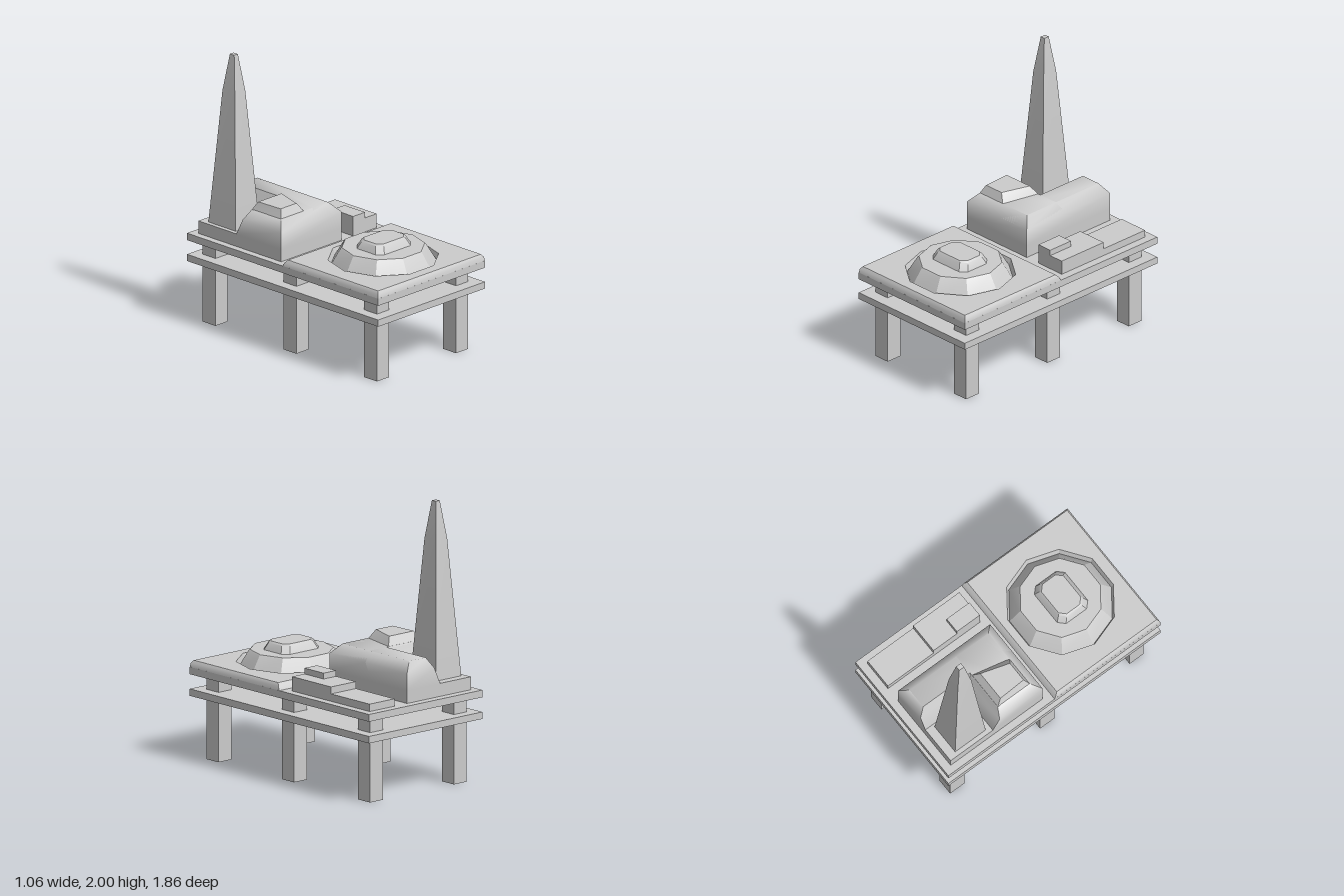
import * as THREE from 'three';
import { toCreasedNormals } from 'three/addons/utils/BufferGeometryUtils.js';

const material = new THREE.MeshStandardMaterial({ color: 0xcccccc });

// Horizontal rings of [x, y, z] points, counter-clockwise from above
const quad = (y, a, b, c, d) => [a, b, c, d].map(([x, z]) => [x, y, z]);
const rect = (y, x0, x1, z0, z1) => quad(y, [x0, z1], [x1, z1], [x1, z0], [x0, z0]);
const decagon = (y, r, cz) => Array.from({ length: 10 }, (_, i) => {
  const a = i * Math.PI / 5;
  return [r * Math.cos(a), y, cz - r * Math.sin(a)];
});
const cutRect = (y, hx, hz, cut, cz) => [
  [-hx + cut, hz], [hx - cut, hz], [hx, hz - cut], [hx, -hz + cut],
  [hx - cut, -hz], [-hx + cut, -hz], [-hx, -hz + cut], [-hx, hz - cut],
].map(([x, z]) => [x, y, cz + z]);

// Skin the rings in order, with an optional flat cap on the last one
function loft(rings, crease = 0.4, cap = true) {
  const pos = [];
  const n = rings[0].length;
  for (let i = 0; i < rings.length - 1; i++) {
    for (let j = 0; j < n; j++) {
      const k = (j + 1) % n;
      const [a, b, c, d] = [rings[i][j], rings[i][k], rings[i + 1][k], rings[i + 1][j]];
      pos.push(...a, ...b, ...c, ...a, ...c, ...d);
    }
  }
  const top = rings[rings.length - 1];
  if (cap) for (let j = 1; j < n - 1; j++) pos.push(...top[0], ...top[j], ...top[j + 1]);
  const g = new THREE.BufferGeometry();
  g.setAttribute('position', new THREE.Float32BufferAttribute(pos, 3));
  g.computeVertexNormals();
  return toCreasedNormals(g, crease);
}

export function createModel() {
  const model = new THREE.Group();
  const add = (name, geometry, parent = model) => {
    const mesh = new THREE.Mesh(geometry, material);
    mesh.name = name;
    parent.add(mesh);
    return mesh;
  };
  const box = (name, x0, x1, y0, y1, z0, z1, parent) =>
    add(name, new THREE.BoxGeometry(x1 - x0, y1 - y0, z1 - z0), parent)
      .position.set((x0 + x1) / 2, (y0 + y1) / 2, (z0 + z1) / 2);

  // Two slabs on six square legs
  box('lowerDeck', -0.53, 0.53, 0.45, 0.5, -0.93, 0.93);
  box('upperDeck', -0.53, 0.53, 0.605, 0.657, -0.93, 0.93);
  for (const x of [-0.392, 0.392]) {
    for (const z of [-0.792, -0.004, 0.78]) {
      box('leg', x - 0.06, x + 0.06, 0, 0.61, z - 0.062, z + 0.062);
    }
  }

  // Raised front platform with bevelled rim and a ten-sided opening
  const platform = new THREE.Group();
  platform.name = 'frontPlatform';
  model.add(platform);
  const cz = 0.46;
  add('platformRim', loft([
    rect(0.655, -0.53, 0.53, 0, 0.93),
    rect(0.685, -0.525, 0.525, 0.015, 0.924),
    rect(0.705, -0.51, 0.51, 0.035, 0.91),
  ], 0.7, false), platform);
  const top = new THREE.Shape([[-0.51, -0.91], [0.51, -0.91], [0.51, -0.035], [-0.51, -0.035]]
    .map(([x, y]) => new THREE.Vector2(x, y)));
  top.holes.push(new THREE.Path(decagon(0, 0.39, cz).map(([x, , z]) => new THREE.Vector2(x, -z))));
  const topGeometry = new THREE.ShapeGeometry(top);
  topGeometry.rotateX(-Math.PI / 2).translate(0, 0.705, 0);
  add('platformTop', topGeometry, platform);

  // Groove and ten-sided mound with a small raised crown
  add('mound', loft([
    decagon(0.705, 0.39, cz), decagon(0.66, 0.375, cz),
    decagon(0.78, 0.303, cz), decagon(0.79, 0.293, cz),
  ]), platform);
  add('moundCrown', loft([
    cutRect(0.785, 0.177, 0.137, 0.045, 0.465),
    cutRect(0.842, 0.15, 0.107, 0.04, 0.465),
    cutRect(0.853, 0.138, 0.097, 0.04, 0.465),
  ], 0.5), platform);

  // L-shaped hall with bevelled roof wrapped around a low terrace
  const hall = new THREE.Group();
  hall.name = 'hall';
  model.add(hall);
  box('terrace', -0.478, -0.15, 0.65, 0.75, -0.87, -0.45, hall);
  add('rearWing', loft([
    rect(0.65, -0.19, 0.12, -0.87, -0.065),
    rect(0.75, -0.19, 0.12, -0.87, -0.065),
    rect(0.87, -0.135, 0.12, -0.87, -0.065),
    rect(0.94, -0.1, 0.055, -0.82, -0.13),
  ], 1), hall);
  add('frontWing', loft([
    rect(0.65, -0.478, 0.12, -0.5, -0.065),
    rect(0.75, -0.478, 0.12, -0.5, -0.065),
    rect(0.87, -0.478, 0.12, -0.44, -0.065),
    rect(0.94, -0.415, 0.055, -0.41, -0.13),
  ], 1), hall);
  add('roofBlock', loft([
    quad(0.93, [-0.42, -0.125], [-0.18, -0.125], [-0.115, -0.415], [-0.42, -0.415]),
    quad(1.0, [-0.385, -0.16], [-0.23, -0.16], [-0.165, -0.37], [-0.395, -0.37]),
  ], 0.5), hall);

  // Tapering spire
  const spireRing = (y, hx, hz) => rect(y, -0.328 - hx, -0.328 + hx, -0.672 - hz, -0.672 + hz);
  add('spire', loft([
    spireRing(0.74, 0.118, 0.134), spireRing(1.73, 0.052, 0.06), spireRing(2, 0.018, 0.021),
  ], 0.3));

  // Stepped low block along the side
  const annex = new THREE.Group();
  annex.name = 'steppedAnnex';
  model.add(annex);
  box('lowStep', 0.237, 0.47, 0.65, 0.71, -0.87, -0.47, annex);
  box('middleStep', 0.237, 0.47, 0.65, 0.76, -0.47, -0.065, annex);
  box('highStep', 0.237, 0.355, 0.75, 0.802, -0.265, -0.065, annex);

  return model;
}
